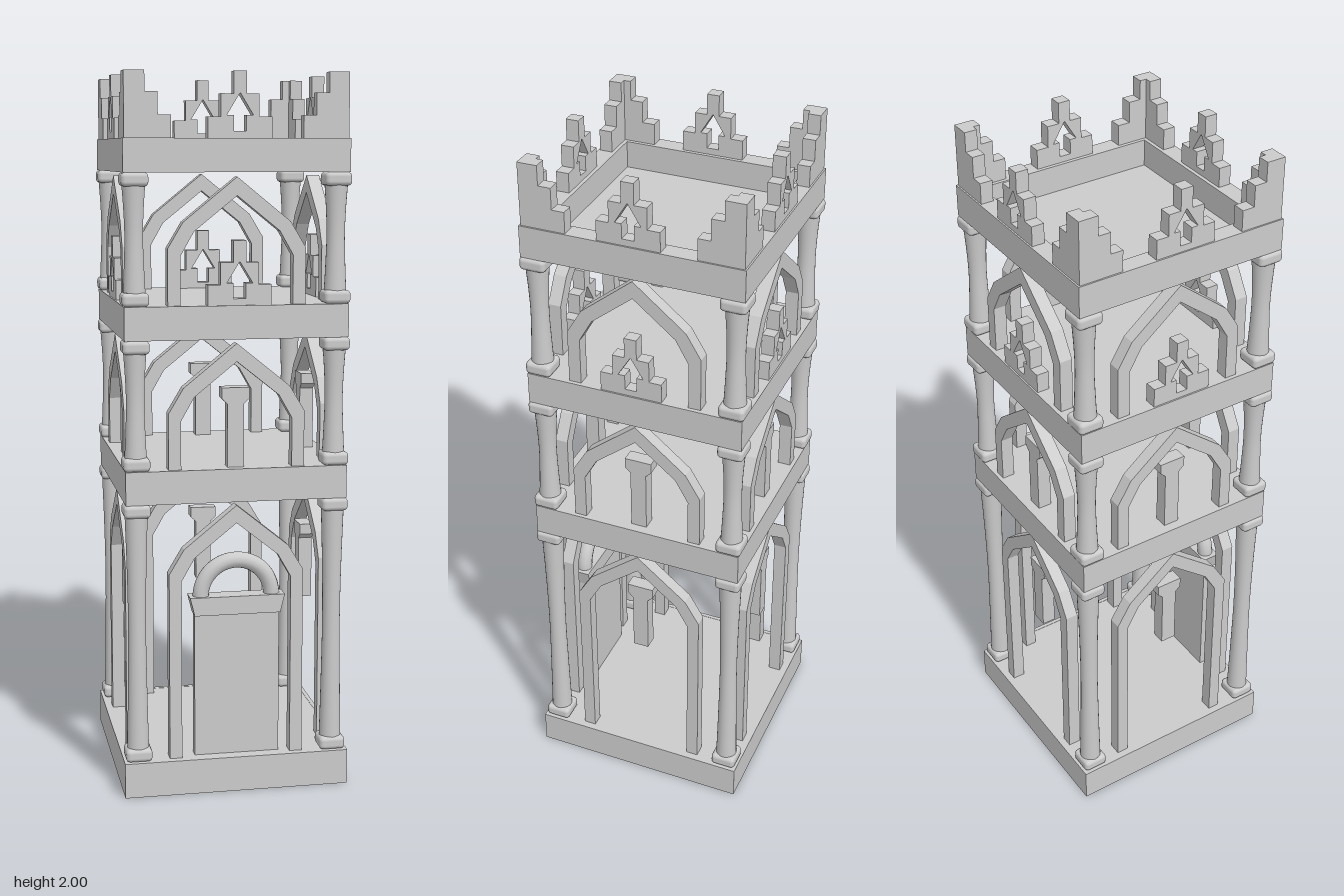
import * as THREE from 'three';
import { RoundedBoxGeometry } from 'three/addons/geometries/RoundedBoxGeometry.js';

const grey = new THREE.MeshStandardMaterial({ color: 0xcccccc });

// Flat outline extruded along z and centred on it
function plate(points, depth, hole) {
  const shape = new THREE.Shape(points.map(([x, y]) => new THREE.Vector2(x, y)));
  if (hole) shape.holes.push(new THREE.Path(hole.map(([x, y]) => new THREE.Vector2(x, y))));
  return new THREE.ExtrudeGeometry(shape, { depth, bevelEnabled: false }).translate(0, 0, -depth / 2);
}

// Right half of an outline (bottom to top), completed by its mirror image
const mirrored = half => [...half, ...half.map(([x, y]) => [-x, y]).reverse()];

function add(parent, name, geometry, x = 0, y = 0, z = 0) {
  const mesh = new THREE.Mesh(geometry, grey);
  mesh.name = name;
  mesh.position.set(x, y, z);
  parent.add(mesh);
  return mesh;
}

const box = (w, h, d) => new THREE.BoxGeometry(w, h, d);

// Square frame of four walls
function frame(parent, name, outer, inner, y0, y1) {
  const ring = s => [[-s, -s], [s, -s], [s, s], [-s, s]];
  const mesh = add(parent, name, plate(ring(outer), y1 - y0, ring(inner)), 0, (y0 + y1) / 2, 0);
  mesh.rotation.x = -Math.PI / 2;
}

// Pointed arch with straight legs
function archGeometry(y0, apex) {
  const outer = [[0.19, y0], [0.19, apex - 0.19], [0.148, apex - 0.12], [0, apex]];
  const inner = [[0.155, y0], [0.155, apex - 0.21], [0.118, apex - 0.145], [0, apex - 0.05]];
  const flip = ([x, y]) => [-x, y];
  return plate([
    ...outer, ...outer.slice(0, 3).reverse().map(flip),
    ...inner.slice(0, 3).map(flip), ...inner.slice().reverse(),
  ], 0.037);
}

// Waisted round column between two softened square blocks
function column(parent, x, z, y0, y1) {
  const g = new THREE.Group();
  g.name = 'column';
  g.position.set(x, 0, z);
  const h = y1 - y0 - 0.06;
  const profile = new THREE.SplineCurve([[0.031, 0], [0.028, 0.2], [0.025, 0.5], [0.027, 0.75], [0.032, 1]]
    .map(([r, t]) => new THREE.Vector2(r, y0 + 0.03 + t * h)));
  add(g, 'shaft', new THREE.LatheGeometry(profile.getPoints(16), 24));
  const block = new RoundedBoxGeometry(0.074, 0.037, 0.074, 3, 0.012);
  add(g, 'columnBase', block, 0, y0 + 0.0185);
  add(g, 'capital', block, 0, y1 - 0.0185);
  parent.add(g);
}

// Stepped battlement with an arrow-shaped opening
const centreMerlon = plate(
  mirrored([[0.0875, 0], [0.0875, 0.056], [0.0525, 0.056], [0.0525, 0.116], [0.0175, 0.116], [0.0175, 0.175]]),
  0.036,
  mirrored([[0.017, 0.018], [0.017, 0.06], [0.036, 0.06], [0.001, 0.117]]));

// Stepped battlement at a corner, starting at x = start
const cornerMerlon = start => plate(
  [[start, 0], [0.18, 0], [0.18, 0.06], [0.215, 0.06], [0.215, 0.12], [0.25, 0.12], [0.25, 0.175], [start, 0.175]]
    .reverse(), 0.036);

// Small post with a flared head
const post = h => plate(mirrored([[0.023, 0], [0.023, h - 0.045], [0.039, h - 0.03], [0.039, h]]), 0.04);

export function createModel() {
  const tower = new THREE.Group();
  tower.name = 'tower';

  // Plinth, hollow underneath
  frame(tower, 'plinthWalls', 0.32, 0.308, 0, 0.1);
  add(tower, 'groundFloor', box(0.62, 0.015, 0.62), 0, 0.0915);

  // Two floors and the roof tray
  add(tower, 'secondFloor', box(0.62, 0.093, 0.62), 0, 0.8825);
  add(tower, 'thirdFloor', box(0.62, 0.092, 0.62), 0, 1.333);
  frame(tower, 'roofRim', 0.31, 0.259, 1.735, 1.825);
  add(tower, 'roofFloor', box(0.53, 0.012, 0.53), 0, 1.742);

  const storeys = [[0.1, 0.836], [0.929, 1.287], [1.379, 1.735]];
  for (const [y0, y1] of storeys)
    for (const x of [-0.278, 0.278])
      for (const z of [-0.278, 0.278]) column(tower, x, z, y0, y1);

  // Arches, posts and battlements on each of the four sides
  for (let k = 0; k < 4; k++) {
    const side = new THREE.Group();
    side.name = 'side';
    side.rotation.y = k * Math.PI / 2;
    tower.add(side);
    for (const [y0, y1] of storeys) add(side, 'arch', archGeometry(y0, y1 - 0.012), 0, 0, 0.28);
    if (k > 0) add(side, 'hangingPost', post(0.225), 0, 0.475, 0.262);
    add(side, 'post', post(0.222), 0, 0.929, 0.262);
    const shift = k === 0 || k === 3 ? 0.006 : -0.006;
    for (const y of [1.379, 1.825]) add(side, 'centreMerlon', centreMerlon, shift, y, 0.2875);
    add(side, 'cornerMerlon', cornerMerlon(0.2695), 0, 1.825, 0.2875);
    add(side, 'cornerMerlon', cornerMerlon(0.3055), 0, 1.825, 0.2875).rotation.y = Math.PI;
  }

  // Door with flared lintel and round arch
  const door = new THREE.Group();
  door.name = 'door';
  door.position.set(0.005, 0, 0.265);
  add(door, 'doorPanel', box(0.242, 0.445, 0.03), 0, 0.2925);
  const lintel = plate([[-0.122, 0.51], [0.122, 0.51], [0.135, 0.562], [-0.135, 0.562]], 0.055);
  add(door, 'lintel', lintel);
  add(door, 'doorArch', new THREE.TorusGeometry(0.101, 0.023, 12, 32, Math.PI), 0, 0.56);
  tower.add(door);

  return tower;
}
